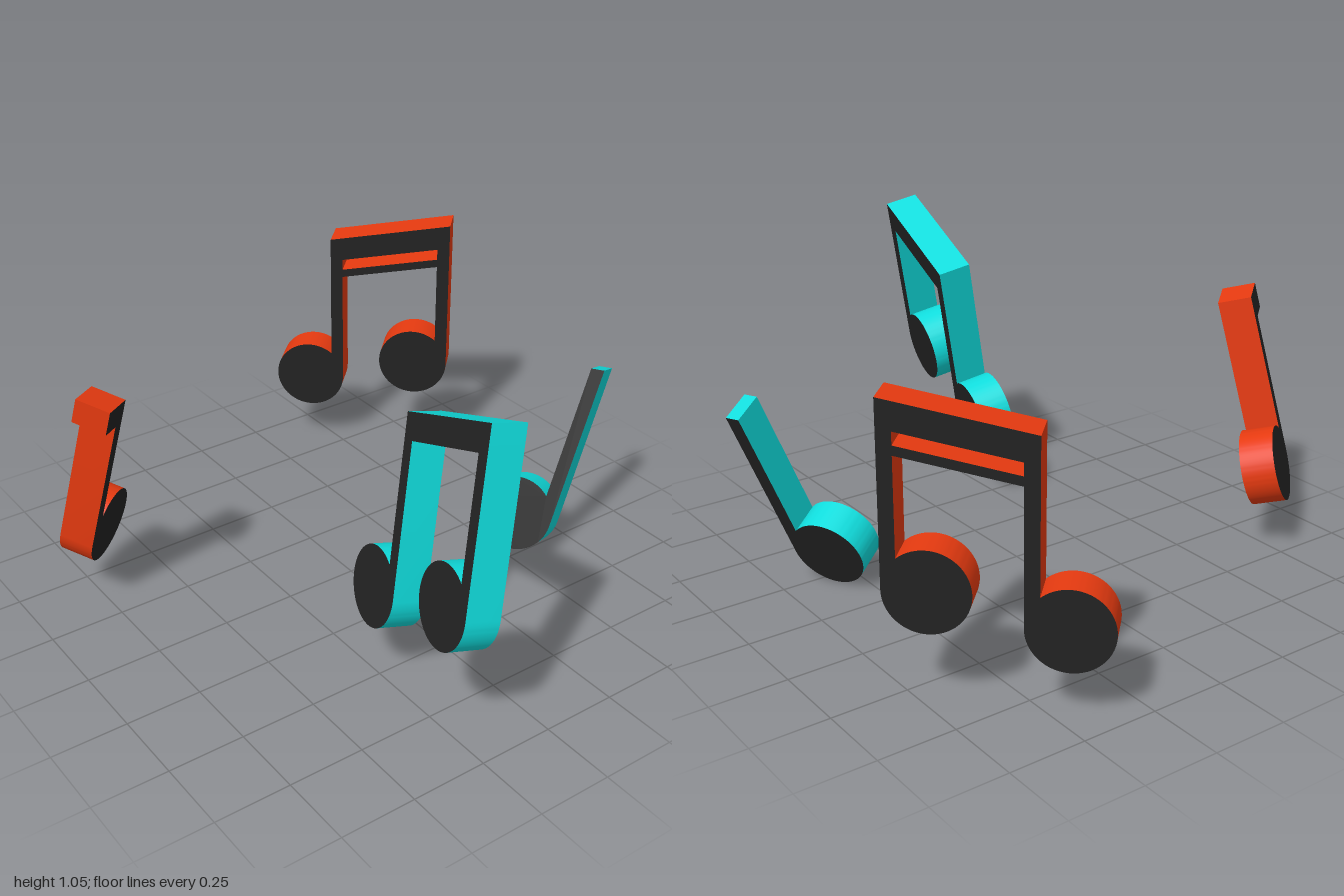
import * as THREE from 'three';
import { toCreasedNormals } from 'three/addons/utils/BufferGeometryUtils.js';

const R = 0.127;          // note head radius
const INNER = 0.083;      // inner edge of the stem, outer edge is at R
const DEPTH = 0.113;      // thickness of every note
const SLOPE = 0.183;      // slant of beams, flags and stem tops
const BEAM = 0.085;       // beam and flag height
const HEAD = Math.acos(INNER / R);  // where the stem's inner edge meets the head

const topAt = (x) => 0.562 + SLOPE * (x - INNER);

// Round head, drawn from the stem's inner edge round to its outer edge
const addHead = (s, cx, cy) => {
  s.lineTo(cx + INNER, cy + Math.sin(HEAD) * R);
  s.absarc(cx, cy, R, HEAD, Math.PI * 2, false);
};

// One head and stem, with an optional flag of the given reach
function singleNote(flagEnd) {
  const s = new THREE.Shape();
  s.moveTo(R, 0);
  if (flagEnd) {
    s.lineTo(R, topAt(R) - BEAM);
    s.lineTo(flagEnd, topAt(flagEnd) - BEAM);
    s.lineTo(flagEnd, topAt(flagEnd));
  } else {
    s.lineTo(R, topAt(R));
  }
  s.lineTo(INNER, topAt(INNER));
  addHead(s, 0, 0);
  return s;
}

// Two heads and stems joined by one beam, or by a beam and a thin bar
function beamedNote(withBar) {
  const cx = 0.394, cy = 0.085;
  const low = withBar ? 0.153 : BEAM;
  const a = R, b = cx + INNER, end = cx + R;
  const s = new THREE.Shape();
  s.moveTo(a, 0);
  s.lineTo(a, topAt(a) - low);
  s.lineTo(b, topAt(b) - low);
  addHead(s, cx, cy);
  s.lineTo(end, topAt(end));
  s.lineTo(INNER, topAt(INNER));
  addHead(s, 0, 0);
  if (withBar) {
    const gapLow = 0.124;
    s.holes.push(new THREE.Path([
      new THREE.Vector2(a, topAt(a) - gapLow),
      new THREE.Vector2(a, topAt(a) - BEAM),
      new THREE.Vector2(b, topAt(b) - BEAM),
      new THREE.Vector2(b, topAt(b) - gapLow),
    ]));
  }
  return s;
}

export function createModel() {
  const group = new THREE.Group();
  const dark = new THREE.MeshStandardMaterial({ color: 0x222222 });
  const orange = new THREE.MeshStandardMaterial({ color: 0xe63a10 });
  const cyan = new THREE.MeshStandardMaterial({ color: 0x10dddd });

  // Place a note by the centre of its front head face, its stem direction and its facing
  const addNote = (name, shape, rim, centre, stem, facing) => {
    let geo = new THREE.ExtrudeGeometry(shape, { depth: DEPTH, bevelEnabled: false, curveSegments: 40 });
    geo.translate(0, 0, -DEPTH);
    geo = toCreasedNormals(geo, 0.4);
    const mesh = new THREE.Mesh(geo, [dark, rim]);
    mesh.name = name;
    const v = new THREE.Vector3(...stem).normalize();
    const u = new THREE.Vector3().crossVectors(v, new THREE.Vector3(...facing)).normalize();
    const n = new THREE.Vector3().crossVectors(u, v);
    mesh.quaternion.setFromRotationMatrix(new THREE.Matrix4().makeBasis(u, v, n));
    mesh.position.set(...centre);
    group.add(mesh);
  };

  addNote('doubleBeamedNote', beamedNote(true), orange,
    [-0.83, 0.285, -0.403], [0, 1, 0], [1, 0, 1]);
  addNote('flaggedNote', singleNote(0.2), orange,
    [-0.446, 0.302, 0.78], [0.23, 0.964, -0.134], [-0.765, 0.264, 0.588]);
  addNote('beamedNote', beamedNote(false), cyan,
    [0.489, 0.334, 0.27], [-0.16, 0.956, -0.246], [-0.19, 0.215, 0.957]);
  addNote('plainNote', singleNote(0), cyan,
    [0.232, 0.157, -0.53], [-0.037, 0.9215, -0.387], [0.466, 0.355, 0.81]);

  return group;
}
